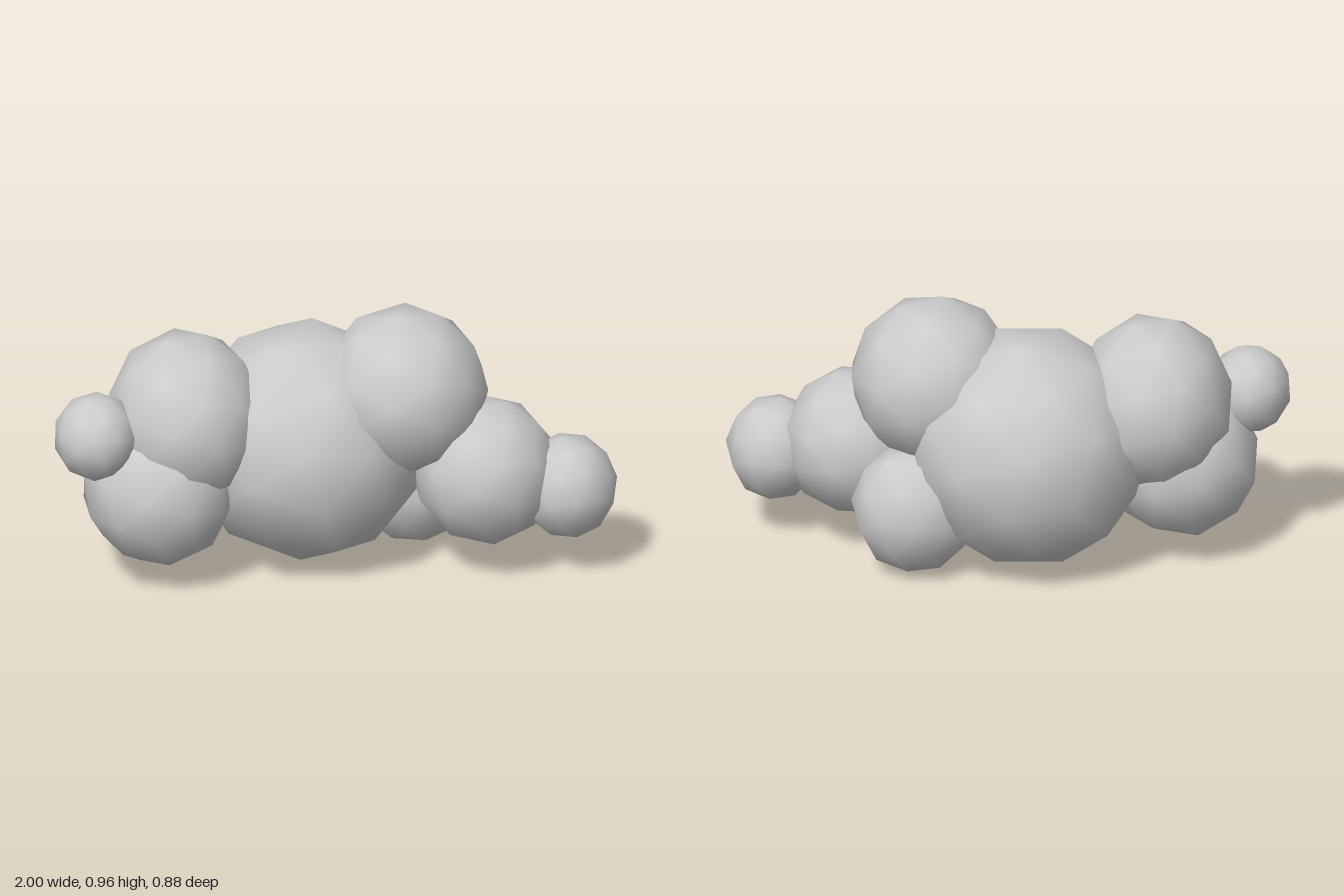
import * as THREE from 'three';

// Each puff: name, min corner, max corner, facet rotation, whether one corner is cut flat
const PUFFS = [
  ['centrePuff', [-0.50, 0.025, -0.44], [0.35, 0.86, 0.405], [0.27, 0, 0.27]],
  ['upperRightPuff', [-0.795, 0.28, -0.265], [-0.24, 0.89, 0.365], [0, 0.27, 0.27]],
  ['lowerRightPuff', [-0.885, 0.075, -0.18], [-0.35, 0.63, 0.385], [0, 0.27, 0.27]],
  ['tipRightPuff', [-1.0, 0.435, 0.01], [-0.71, 0.735, 0.33], [0.2, 0, 0.27]],
  ['upperLeftPuff', [-0.03, 0.36, -0.23], [0.55, 0.955, 0.385], [0.1, 0.27, 0.1]],
  ['middleLeftPuff', [0.285, 0.115, -0.08], [0.79, 0.63, 0.44], [0.1, 0.27, 0.27]],
  ['tipLeftPuff', [0.65, 0.13, 0.05], [1.0, 0.505, 0.425], [0, 0, -1.45], true],
  ['backLeftPuff', [0.10, 0.0, -0.31], [0.55, 0.47, 0.11], [0, 0, -1.45], true],
];

// Flattens the ring of faces around one corner of the ball
function cutCorner(geometry) {
  const { position, normal } = geometry.attributes;
  const direction = new THREE.Vector3(1, (1 + Math.sqrt(5)) / 2, 0).normalize();
  const point = new THREE.Vector3();
  for (let i = 0; i < position.count; i++) {
    const height = point.fromBufferAttribute(position, i).dot(direction);
    if (height < 0.9) continue;
    point.addScaledVector(direction, 0.851 - height);
    position.setXYZ(i, ...point);
    const first = i - (i % 3);
    for (let k = first; k < first + 3; k++) normal.setXYZ(k, ...direction);
  }
}

// Low-poly smooth ball fitted into the given box
function makePuff([name, min, max, rotation, cut], material) {
  const geometry = new THREE.IcosahedronGeometry(1, 1);
  if (cut) cutCorner(geometry);
  geometry.applyMatrix4(new THREE.Matrix4().makeRotationFromEuler(new THREE.Euler(...rotation)));
  geometry.center();
  const extent = geometry.boundingBox.getSize(new THREE.Vector3());
  const box = new THREE.Box3(new THREE.Vector3(...min), new THREE.Vector3(...max));
  const size = box.getSize(new THREE.Vector3()).divide(extent);
  geometry.scale(size.x, size.y, size.z);
  const mesh = new THREE.Mesh(geometry, material);
  mesh.name = name;
  box.getCenter(mesh.position);
  return mesh;
}

export function createModel() {
  const cloud = new THREE.Group();
  cloud.name = 'cloud';
  const material = new THREE.MeshStandardMaterial({ color: 0xcccccc });
  for (const puff of PUFFS) cloud.add(makePuff(puff, material));
  return cloud;
}
